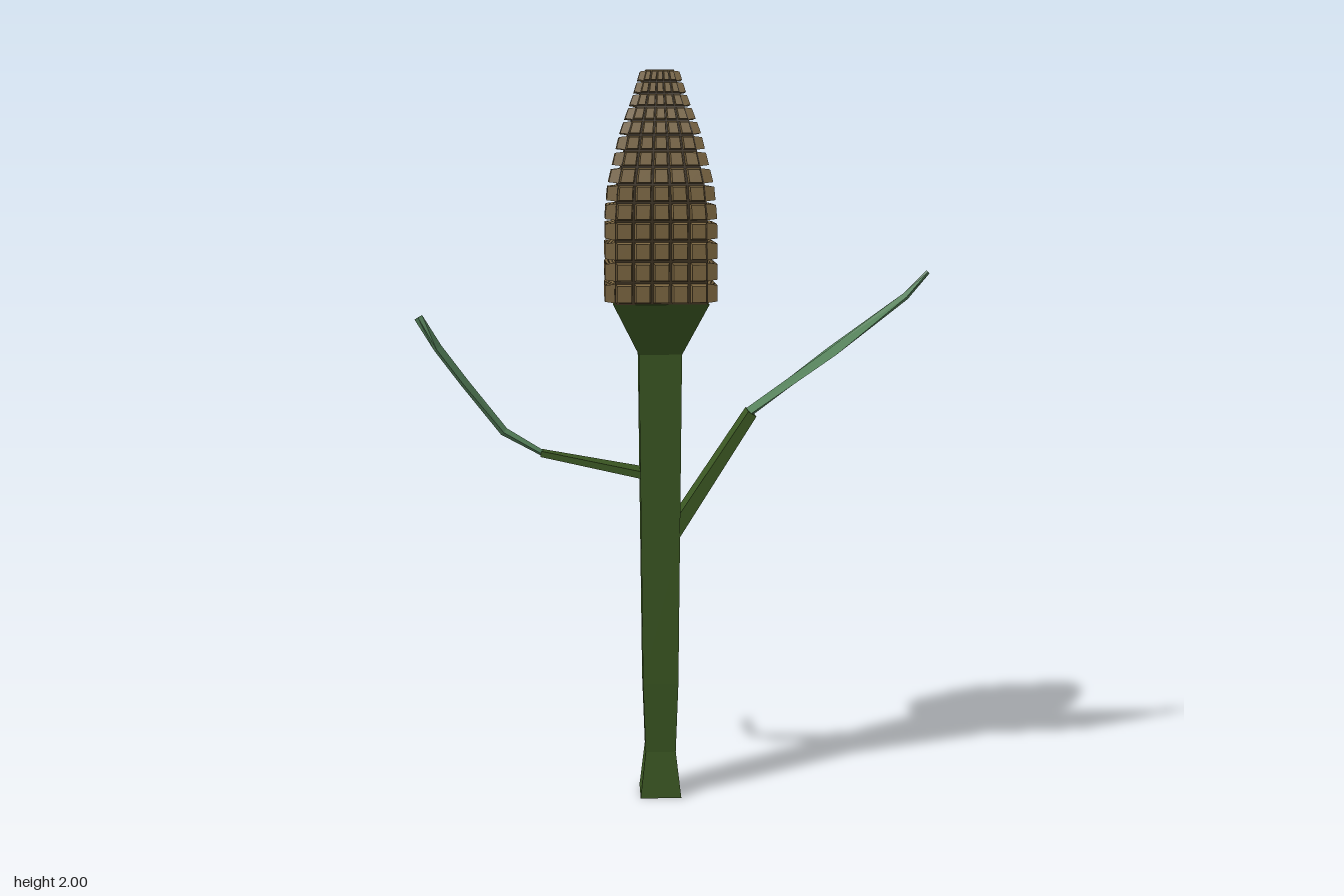
import * as THREE from 'three';
import { mergeGeometries } from 'three/addons/utils/BufferGeometryUtils.js';

const mat = (color) => new THREE.MeshStandardMaterial({ color, flatShading: true });
const GREEN = mat(0x3b5722), LEAF = mat(0x55805a), KERNEL = mat(0x7a6540);
const CORE = mat(0x3a2f1e), ROOT = mat(0x4a3526);
const CX = -0.04; // stem axis

// Skin four-cornered rings (counter-clockwise seen from the far end) and cap them
function loft(rings, capStart = true, capEnd = true) {
  const pos = [];
  const quad = (a, b, c, d) => pos.push(...a, ...b, ...c, ...a, ...c, ...d);
  for (let r = 0; r + 1 < rings.length; r++) {
    const A = rings[r], B = rings[r + 1];
    for (let i = 0; i < 4; i++) {
      const j = (i + 1) % 4;
      quad(A[i], A[j], B[j], B[i]);
    }
  }
  if (capStart) quad(...[...rings[0]].reverse());
  if (capEnd) quad(...rings[rings.length - 1]);
  const g = new THREE.BufferGeometry();
  g.setAttribute('position', new THREE.Float32BufferAttribute(pos, 3));
  g.computeVertexNormals();
  return g;
}

function add(parent, name, geometry, material) {
  const mesh = new THREE.Mesh(geometry, material);
  mesh.name = name;
  parent.add(mesh);
  return mesh;
}

// Horizontal square ring
const square = ([y, h]) => [[h, y, h], [h, y, -h], [-h, y, -h], [-h, y, h]];

// Sweep along points [x, y, half width, half thickness] in the xy plane
function sweep(points, corners) {
  return loft(points.map(([x, y, w, t], i) => {
    const p = points[Math.max(i - 1, 0)], q = points[Math.min(i + 1, points.length - 1)];
    const dx = q[0] - p[0], dy = q[1] - p[1], len = Math.hypot(dx, dy);
    return corners.map(([n, z]) => [x - (dy / len) * n * t, y + (dx / len) * n * t, z * w]);
  }));
}
const RECT = [[1, 1], [-1, 1], [-1, -1], [1, -1]];
const DIAMOND = [[1, 0], [0, 1], [-1, 0], [0, -1]];

// Half width of the head's core by height
const PROFILE = [[1.39, 0.123], [1.62, 0.121], [1.7, 0.114], [1.84, 0.084], [1.93, 0.055], [2, 0.036]];
function coreHalf(y) {
  for (let i = 1; i < PROFILE.length; i++) {
    const [y0, h0] = PROFILE[i - 1], [y1, h1] = PROFILE[i];
    if (y <= y1) return h0 + ((h1 - h0) * (y - y0)) / (y1 - y0);
  }
  return PROFILE[PROFILE.length - 1][1];
}

// One face of raised kernels, facing +z, in rows that shrink upward
function kernelFace(depth) {
  const rows = 14, cols = 5, parts = [];
  let y = 1.39;
  for (let r = 0; r < rows; r++) {
    const pitch = 0.0575 - (0.028 * r) / (rows - 1);
    const ring = (inset, out) => (c) => {
      const ya = y + pitch * inset, yb = y + pitch * (1 - inset);
      const u0 = -1 + (2 * (c + inset)) / cols, u1 = -1 + (2 * (c + 1 - inset)) / cols;
      const a = coreHalf(ya), b = coreHalf(yb);
      const oa = out * (0.35 + (0.65 * a) / 0.123), ob = out * (0.35 + (0.65 * b) / 0.123);
      return [[u0 * a, ya, a + oa], [u1 * a, ya, a + oa], [u1 * b, yb, b + ob], [u0 * b, yb, b + ob]];
    };
    const base = ring(0.06, -0.002), top = ring(0.13, depth);
    for (let c = 0; c < cols; c++) parts.push(loft([base(c), top(c)], false));
    y += pitch;
  }
  return mergeGeometries(parts);
}

export function createModel() {
  const model = new THREE.Group();
  model.name = 'cornPlant';

  // Stem with flared foot and cup under the head
  const stem = add(model, 'stem', loft([
    [0, 0.057], [0.13, 0.042], [0.33, 0.049], [0.74, 0.053], [1.25, 0.058], [1.39, 0.127],
  ].map(square), false), GREEN);
  stem.position.x = CX;
  const root = add(model, 'stemBase', new THREE.PlaneGeometry(0.114, 0.114).rotateX(Math.PI / 2), ROOT);
  root.position.x = CX;

  // Head: dark core, tan tip and kernels on all four faces
  const head = new THREE.Group();
  head.name = 'head';
  head.position.x = CX;
  model.add(head);
  add(head, 'core', loft(PROFILE.map(square), true, false), CORE);
  add(head, 'tip', loft([square([1.985, 0.039]), square([2, 0.037])]), KERNEL);
  for (let i = 0; i < 4; i++) {
    const face = add(head, 'kernels', kernelFace(i % 2 ? 0.026 : 0.034), KERNEL);
    face.rotation.y = (i * Math.PI) / 2;
  }

  // Large leaf on the left: straight stalk, broad pointed blade
  const leftLeaf = new THREE.Group();
  leftLeaf.name = 'leftLeaf';
  add(leftLeaf, 'stalk', sweep([[-0.03, 0.713, 0.05, 0.019], [0.21, 1.085, 0.044, 0.013]], RECT), GREEN);
  add(leftLeaf, 'blade', sweep([
    [0.205, 1.085, 0.044, 0.013], [0.43, 1.25, 0.087, 0.01], [0.63, 1.4, 0.02, 0.01], [0.69, 1.466, 0.003, 0.006],
  ], DIAMOND), LEAF);

  // Small leaf on the right: tapering stalk, upturned narrow blade
  const rightLeaf = new THREE.Group();
  rightLeaf.name = 'rightLeaf';
  add(rightLeaf, 'stalk', sweep([[-0.06, 0.912, 0.05, 0.01], [-0.365, 0.975, 0.02, 0.008]], RECT), GREEN);
  add(rightLeaf, 'blade', sweep([
    [-0.36, 0.974, 0.02, 0.008], [-0.465, 1.035, 0.018, 0.012], [-0.57, 1.17, 0.038, 0.012],
    [-0.64, 1.265, 0.038, 0.012], [-0.69, 1.348, 0.008, 0.012],
  ], DIAMOND), LEAF);
  rightLeaf.position.z = -0.004;
  model.add(leftLeaf, rightLeaf);

  return model;
}
